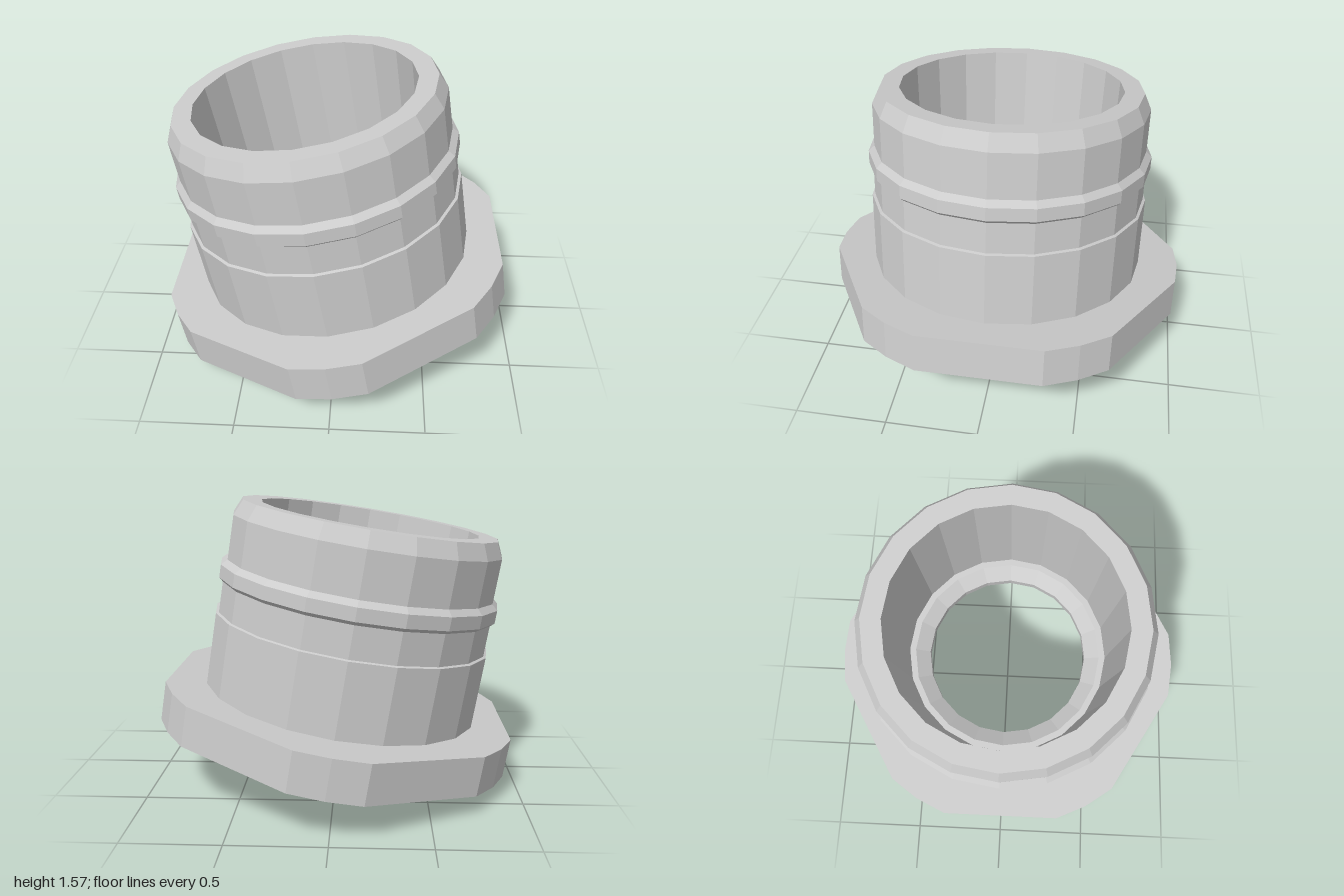
import * as THREE from 'three';

const material = new THREE.MeshStandardMaterial({ color: 0xcccccc, flatShading: true });
const SIDES = 20;

// Closed profile of [radius, height] pairs: outside going up, inside going down.
function turned(name, profile) {
  const points = [...profile, profile[0]].map(([r, h]) => new THREE.Vector2(r, h));
  const mesh = new THREE.Mesh(new THREE.LatheGeometry(points, SIDES), material);
  mesh.name = name;
  return mesh;
}

// Hexagon with corners trimmed to a circle, with a round hole, lying flat.
function hexPlate(name, holeRadius, bottom, top) {
  const flat = 0.944, round = 1.0;
  const half = Math.acos(flat / round);
  const outline = [];
  for (let i = 0; i < 6; i++) {
    const a = (i * Math.PI) / 3;
    for (const d of [-half, half, Math.PI / 6]) {
      outline.push(new THREE.Vector2(round * Math.cos(a + d), round * Math.sin(a + d)));
    }
  }
  const shape = new THREE.Shape(outline);
  const hole = [];
  for (let i = 0; i < SIDES; i++) {
    const a = (-i * 2 * Math.PI) / SIDES;
    hole.push(new THREE.Vector2(holeRadius * Math.cos(a), holeRadius * Math.sin(a)));
  }
  shape.holes.push(new THREE.Path(hole));
  const geometry = new THREE.ExtrudeGeometry(shape, { depth: top - bottom, bevelEnabled: false });
  geometry.rotateX(-Math.PI / 2).translate(0, bottom, 0);
  const mesh = new THREE.Mesh(geometry, material);
  mesh.name = name;
  return mesh;
}

export function createModel() {
  const model = new THREE.Group();
  model.name = 'flangedBushing';

  // The whole fitting leans on its axis
  const fitting = new THREE.Group();
  fitting.name = 'fitting';
  fitting.position.set(0.035, 0.116, 0);
  fitting.rotation.z = 0.162;
  model.add(fitting);

  // Hollow sleeve with thread ridge, rounded lip and stepped bore
  fitting.add(turned('sleeve', [
    [0.72, 0], [0.72, 0.27], [0.775, 0.27], [0.775, 0.735],
    [0.76, 0.74], [0.76, 0.91], [0.782, 0.93], [0.782, 1.0],
    [0.75, 1.03], [0.75, 1.27], [0.71, 1.355],
    [0.605, 1.355], [0.575, 0.5], [0.54, 0.5], [0.46, 0.44],
    [0.46, 0.38], [0.59, 0.38], [0.59, 0.23], [0.70, 0.23], [0.70, 0],
  ]));

  // Flange: solid plate above, hollow rim below
  fitting.add(hexPlate('flangePlate', 0.71, 0.22, 0.333));
  fitting.add(hexPlate('flangeRim', 0.87, 0.117, 0.22));

  return model;
}
